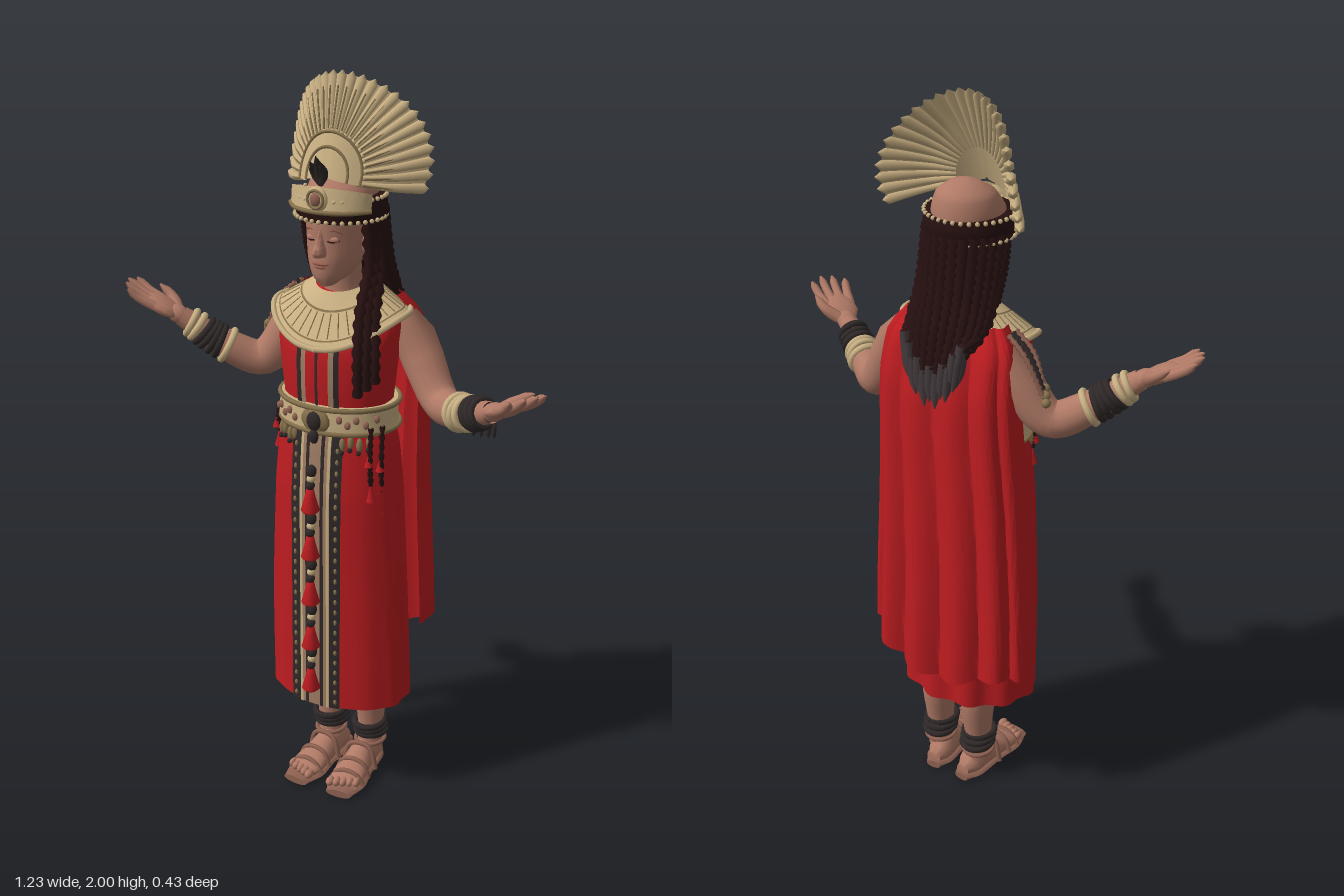
import * as THREE from 'three';
import { mergeGeometries, toCreasedNormals } from 'three/addons/utils/BufferGeometryUtils.js';

const V = (x, y, z) => new THREE.Vector3(x, y, z);
const { sin, cos, PI, abs, max, min, sqrt, floor } = Math;
const mat = (name, color) => new THREE.MeshStandardMaterial({ name, color, side: THREE.DoubleSide });

// Surface from a rule: u runs around or across, v runs upward
function grid(fn, nu, nv, closed = false) {
  const pos = [], idx = [], w = closed ? nu : nu + 1;
  for (let i = 0; i <= nv; i++) for (let j = 0; j < w; j++) pos.push(...fn(j / nu, i / nv, i));
  for (let i = 0; i < nv; i++) for (let j = 0; j < nu; j++) {
    const a = i * w + j, b = i * w + (j + 1) % w, c = a + w, d = b + w;
    idx.push(a, b, d, a, d, c);
  }
  const g = new THREE.BufferGeometry();
  g.setAttribute('position', new THREE.Float32BufferAttribute(pos, 3));
  g.setIndex(idx);
  return toCreasedNormals(g, 0.9);
}

// Section rows are [y, centreX, centreZ, halfWidth, frontDepth, backDepth]
const spline = (a, b, c, d, t) => b + 0.5 * t * (c - a + t * (2 * a - 5 * b + 4 * c - d + t * (3 * (b - c) + d - a)));
function sectionAt(rows, y) {
  let k = 0;
  while (k < rows.length - 2 && y > rows[k + 1][0]) k++;
  const t = (y - rows[k][0]) / (rows[k + 1][0] - rows[k][0]);
  const p = rows[max(k - 1, 0)], q = rows[min(k + 2, rows.length - 1)];
  return rows[k].map((b, n) => n ? spline(p[n], b, rows[k + 1][n], q[n], t) : y);
}
function loft(rows, nu = 24, nv = 20, ripple = () => 1) {
  const y0 = rows[0][0], y1 = rows[rows.length - 1][0];
  return grid((u, _, i) => {
    const t = min(max((i - 1) / nv, 0), 1), a = u * 2 * PI;
    const [y, cx, cz, rx, rf, rb] = sectionAt(rows, y0 + (y1 - y0) * t);
    const k = i === 0 || i === nv + 2 ? 0 : ripple(a, t);
    return [cx + rx * k * sin(a), y, cz + (cos(a) > 0 ? rf : rb) * k * cos(a)];
  }, nu, nv + 2, true);
}

// Tube of changing radius along a smooth path
function limb(points, radius, n = 20, sides = 10) {
  const path = new THREE.CatmullRomCurve3(points.map(p => V(...p)));
  const g = new THREE.TubeGeometry(path, n, 1, sides), pos = g.attributes.position, v = V(0, 0, 0);
  for (let i = 0; i <= n; i++) {
    const t = i / n, c = path.getPointAt(t);
    let r = typeof radius === 'function' ? radius(t) : radius;
    if (Array.isArray(radius)) {
      const f = t * (radius.length - 1), k = min(floor(f), radius.length - 2);
      r = radius[k] + (radius[k + 1] - radius[k]) * (f - k);
    }
    for (let j = 0; j <= sides; j++) {
      const m = i * (sides + 1) + j;
      v.fromBufferAttribute(pos, m).sub(c).multiplyScalar(r).add(c);
      pos.setXYZ(m, v.x, v.y, v.z);
    }
  }
  return g;
}
const ball = (x, y, z, rx, ry = rx, rz = rx) => new THREE.SphereGeometry(1, 10, 7).scale(rx, ry, rz).translate(x, y, z);
const ring = (y, z, rx, rz, r) => new THREE.TorusGeometry(1, r / rx, 6, 40).rotateX(PI / 2).scale(rx, rx, rz).translate(0, y, z);

export function createModel() {
  const skin = mat('skin', 0xb07a66), red = mat('red cloth', 0xbc1c20), hair = mat('dark hair', 0x271010);
  const gold = mat('gold', 0xc9b083), shade = mat('dark gold', 0x86714c), bead = mat('dark beads', 0x2f2828);
  const tan = mat('tan trim', 0xa07d63), leather = mat('leather', 0x8f6252), lip = mat('lips', 0x95594c), tip = mat('grey hair tips', 0x433a3c);
  const root = new THREE.Group(), figure = new THREE.Group();
  root.name = 'robedFigure'; figure.name = 'body'; figure.position.x = -0.013;
  root.add(figure);
  const add = (name, geo, material, parent = figure) => {
    const m = new THREE.Mesh(Array.isArray(geo) ? mergeGeometries(geo) : geo, material);
    m.name = name; parent.add(m); return m;
  };

  // Legs and sandals
  for (const s of [-1, 1]) {
    add('leg', loft([[0.05, 0, -0.07, 0.036, 0.04, 0.04], [0.13, 0, -0.072, 0.036, 0.038, 0.042], [0.26, 0, -0.075, 0.047, 0.057, 0.058], [0.45, 0, -0.06, 0.06, 0.06, 0.06]], 16, 12), skin).position.x = s * 0.065;
    const foot = new THREE.Group();
    foot.name = 'foot'; foot.position.x = s * 0.06; foot.rotation.y = s * 0.08; figure.add(foot);
    const along = rows => loft(rows, 20, 18).rotateX(PI / 2);
    add('footTop', along([[-0.13, 0, -0.03, 0.018, 0.015, 0.02], [-0.1, 0, -0.03, 0.035, 0.02, 0.05], [-0.05, 0, -0.03, 0.037, 0.02, 0.065], [0, 0, -0.03, 0.042, 0.02, 0.047], [0.06, 0, -0.028, 0.048, 0.018, 0.026], [0.1, 0, -0.025, 0.043, 0.015, 0.014]]), skin, foot);
    add('toes', [0, 1, 2, 3, 4].map(i => ball(s * (-0.034 + i * 0.018), 0.032, 0.11 - i * 0.006, 0.012 - i * 0.0008, 0.012, 0.018)), skin, foot);
    add('sole', along([[-0.14, 0, -0.011, 0.022, 0.011, 0.011], [-0.1, 0, -0.011, 0.042, 0.011, 0.011], [0, 0, -0.011, 0.046, 0.011, 0.011], [0.07, 0, -0.011, 0.055, 0.011, 0.011], [0.132, 0, -0.011, 0.038, 0.011, 0.011]]), leather, foot);
    add('straps', [[0.07, 0.046], [0.03, 0.062], [-0.02, 0.085]].map(([z, h]) => limb([[-0.05, 0.015, z], [-0.032, h - 0.006, z], [0, h + 0.005, z], [0.032, h - 0.006, z], [0.05, 0.015, z]], 0.007, 16, 6)), leather, foot);
    add('ankleStrap', ring(0.085, -0.072, 0.041, 0.045, 0.006), leather).position.x = s * 0.065;
    add('anklets', [0.115, 0.13, 0.144].map((y, i) => ring(y, -0.072, 0.042, 0.046, 0.009).rotateX((i - 1) * 0.04)), bead).position.x = s * 0.065;
  }

  // Dress with folds toward the sides and back
  const dressRows = [[0.29, 0.005, 0, 0.2, 0.13, 0.165], [0.6, 0, 0, 0.194, 0.128, 0.16], [0.92, 0, 0, 0.18, 0.125, 0.15], [1.05, 0, 0, 0.167, 0.115, 0.14], [1.13, 0, 0, 0.148, 0.105, 0.13], [1.24, 0, 0, 0.157, 0.11, 0.135], [1.33, 0, 0, 0.166, 0.102, 0.14], [1.4, 0, 0, 0.16, 0.055, 0.135], [1.45, 0, -0.03, 0.08, 0.05, 0.08]];
  add('dress', loft(dressRows, 96, 50, (a, t) => 1 + 0.025 * (1 - t) * (1 - cos(a)) * sin(a * 11)), red);
  const frontZ = (x, y) => {
    const r = sectionAt(dressRows, y);
    return r[2] + r[4] * sqrt(max(0, 1 - (x / r[3]) ** 2));
  };
  const strip = (x0, x1, y0, y1, off) => grid((u, v) => {
    const x = x0 + (x1 - x0) * u, y = y0 + (y1 - y0) * v;
    return [x, y, frontZ(x, y) + off];
  }, 4, 40);

  // Decorated front panel with patterned borders
  add('panelEdges', [-1, 1].flatMap(s => [strip(s * 0.059 - 0.015, s * 0.059 + 0.015, 0.29, 1.1, 0.007), strip(s * 0.054 - 0.007, s * 0.054 + 0.007, 1.16, 1.35, 0.007)]), bead);
  add('panelCentre', [strip(-0.044, 0.044, 0.29, 1.1, 0.006), ...[-1, 1].map(s => strip(s * 0.04 - 0.007, s * 0.04 + 0.007, 1.16, 1.35, 0.007))], tan);
  add('panelLines', [-0.04, 0.04].map(x => strip(x - 0.004, x + 0.004, 0.29, 1.1, 0.009)), gold);
  add('panelDarkLines', [-0.022, 0.022].map(x => strip(x - 0.005, x + 0.005, 0.29, 1.1, 0.008)), bead);
  add('bodiceSeam', strip(-0.004, 0.004, 1.16, 1.35, 0.007), bead);
  add('panelStuds', Array.from({ length: 50 }, (_, i) => {
    const x = i % 2 ? 0.061 : -0.061, y = 0.31 + floor(i / 2) * 0.031;
    return ball(x, y, frontZ(x, y) + 0.007, 0.005, 0.008, 0.004);
  }), shade);

  // Tassels down the panel
  for (const y of [0.92, 0.785, 0.65, 0.515, 0.385]) {
    const z = frontZ(0, y) + 0.026;
    add('tassel', new THREE.LatheGeometry([[0, -0.035], [0.018, -0.037], [0.025, -0.03], [0.014, 0.01], [0.01, 0.03], [0, 0.035]].map(p => new THREE.Vector2(...p)), 12).translate(0, y, z), red);
    add('tasselKnot', [ball(0, y + 0.04, z, 0.013), ball(0, y + 0.077, z - 0.008, 0.014, 0.018, 0.014)], bead);
    add('tasselBead', ball(0, y + 0.057, z - 0.005, 0.012), gold);
  }

  // Belt, buckle and hanging cords
  add('belt', loft([[1.095, 0, 0, 0.167, 0.122, 0.142], [1.13, 0, 0, 0.163, 0.122, 0.14], [1.17, 0, 0, 0.162, 0.12, 0.14]], 48, 4), gold);
  add('beltBorders', [1.1, 1.165].map(y => ring(y, -0.01, 0.165, 0.133, 0.007)), shade);
  const beltZ = x => 0.122 * sqrt(1 - (x / 0.164) ** 2);
  add('beltStuds', [-0.145, -0.125, -0.105, -0.085, -0.065, 0.065, 0.085, 0.105, 0.125, 0.145].map((x, i) => ball(x, 1.126 + (i % 2) * 0.014, beltZ(x), 0.009, 0.011, 0.007)), leather);
  add('buckleFrame', ball(0, 1.132, 0.12, 0.042, 0.036, 0.012), shade);
  add('buckle', [ball(0, 1.132, 0.128, 0.022, 0.026, 0.012), ball(0, 1.09, 0.13, 0.014, 0.02, 0.01)], bead);
  const fringe = [-0.15, -0.13, -0.11, -0.09, -0.07, 0.07, 0.09, 0.11, 0.13];
  add('beltFringe', fringe.map((x, i) => ball(x, 1.078 - (i % 2) * 0.008, frontZ(x, 1.08) + 0.005, 0.009, 0.02, 0.008)), shade);
  add('fringeTips', fringe.map((x, i) => ball(x, 1.058 - (i % 2) * 0.008, frontZ(x, 1.06) + 0.006, 0.007)), bead);
  for (const [x, len] of [[0.138, 0.11], [0.155, 0.15], [-0.155, 0.02]]) {
    const z = frontZ(x, 1.08) + 0.02;
    add('cord', limb([[x, 1.12, z], [x + 0.003, 1.09 - len / 2, z + 0.01], [x, 1.07 - len, z]], t => 0.007 + 0.002 * sin(t * 50), 30, 6), hair);
    add('cordTassel', [new THREE.ConeGeometry(0.014, 0.05, 8).translate(x, 1.05 - len, z), new THREE.ConeGeometry(0.012, 0.035, 8).translate(x, 1.09 - len * 0.5, z + 0.012)], red);
  }

  // Pleated cape hanging from the shoulders
  const capeRows = [[0, -0.015, -0.1, 0.235, 0, 0.118], [0.5, -0.012, -0.1, 0.212, 0, 0.108], [0.82, 0, -0.1, 0.195, 0, 0.095], [0.95, 0, -0.09, 0.178, 0, 0.07], [1, 0, -0.07, 0.14, 0, 0.05]];
  add('cape', grid((u, v) => {
    const a = (u - 0.5) * PI * 1.04, [, cx, cz, rx, , rb] = sectionAt(capeRows, v);
    const wave = abs(sin(a * 5.5 + 0.15 * sin(v * 6))) - 0.6;
    const hem = 0.43 + (u > 0.8 ? 0.07 : u < 0.12 ? 0.02 : 0.025 * sin(u * 9));
    const c = cos(a), f = Math.sign(c) * sqrt(abs(c));
    return [cx + rx * sin(a) * (1 + wave * 0.06), hem + (1.44 - hem) * v, cz - rb * f - wave * f * (0.034 - 0.02 * v)];
  }, 150, 30), red);

  // Broad collar in bands with fine radial ribs
  const collar = (a, v) => {
    const c = cos(a), lerp = (p, q) => p + (q - p) * v;
    return [lerp(0.187, 0.07) * sin(a), lerp(1.405 - 0.08 * max(0, c) ** 2, 1.475 - 0.02 * c), -0.03 + lerp(c > 0 ? 0.15 : 0.12, 0.065) * c + 0.006];
  };
  const bands = [[0, 0.13, gold], [0.13, 0.16, shade], [0.16, 0.64, gold], [0.64, 0.68, shade], [0.68, 1, gold]];
  for (const [v0, v1, m] of bands) add('collarBand', grid((u, v) => collar(u * 2 * PI, v0 + (v1 - v0) * v), 60, 3, true), m);
  add('collarRim', limb(Array.from({ length: 25 }, (_, i) => collar(i / 12 * PI, 0)), 0.008, 60, 6), gold);
  add('collarRibs', Array.from({ length: 36 }, (_, i) => limb([collar(i / 18 * PI, 0.18), collar(i / 18 * PI, 0.62)], 0.0016, 2, 4)), shade);

  // Neck, head and face
  add('neck', loft([[1.38, 0, -0.035, 0.07, 0.06, 0.06], [1.46, 0, -0.03, 0.05, 0.05, 0.05], [1.56, 0, -0.02, 0.05, 0.05, 0.05]], 20, 8), skin);
  add('head', loft([[1.478, 0, 0.05, 0.018, 0.03, 0.03], [1.5, 0, 0.03, 0.047, 0.06, 0.06], [1.54, 0, 0, 0.068, 0.094, 0.08], [1.59, 0, -0.01, 0.077, 0.1, 0.09], [1.65, 0, -0.02, 0.083, 0.11, 0.1], [1.7, 0, -0.025, 0.09, 0.1, 0.1], [1.75, 0, -0.035, 0.073, 0.07, 0.08], [1.775, 0, -0.04, 0.04, 0.035, 0.045], [1.785, 0, -0.04, 0.005, 0.005, 0.005]], 28, 36), skin);
  add('nose', loft([[1.558, 0, 0.085, 0.017, 0.028, 0.01], [1.57, 0, 0.085, 0.018, 0.035, 0.01], [1.595, 0, 0.085, 0.01, 0.022, 0.01], [1.622, 0, 0.08, 0.006, 0.013, 0.01]], 12, 10), skin);
  add('lips', [ball(0, 1.538, 0.089, 0.024, 0.005, 0.009), ball(0, 1.529, 0.086, 0.02, 0.006, 0.009)], lip);
  for (const s of [-1, 1]) {
    add('eyelid', ball(s * 0.031, 1.6, 0.077, 0.015, 0.009, 0.008), skin);
    add('eyeLine', limb([[s * 0.016, 1.597, 0.086], [s * 0.031, 1.595, 0.086], [s * 0.046, 1.598, 0.073]], 0.0018, 8, 4), hair);
    add('eyebrow', limb([[s * 0.012, 1.617, 0.086], [s * 0.033, 1.624, 0.081], [s * 0.052, 1.616, 0.067]], 0.0022, 8, 4), lip);
    add('ear', ball(s * 0.079, 1.58, -0.005, 0.01, 0.028, 0.018), skin);
    add('earring', ball(s * 0.082, 1.54, 0, 0.006, 0.012, 0.006), gold);
  }

  // Braided hair, longest at the middle of the back
  add('hairMass', loft([[1.3, 0, -0.175, 0.05, 0.015, 0.025], [1.4, 0, -0.14, 0.09, 0.03, 0.045], [1.52, 0, -0.08, 0.093, 0.04, 0.075], [1.66, 0, -0.02, 0.105, 0.03, 0.11]], 24, 16), hair);
  const plait = (pts, r = 0.017) => limb(pts, t => r * (1 + 0.22 * sin(t * 85)) * (1 - 0.3 * t), 64, 6);
  const braids = [], tips = [];
  for (let i = 0; i < 15; i++) {
    const a = (i / 14 - 0.5) * PI * 1.02, s = sin(a), c = cos(a), y = 1.315 + 0.07 * s * s + 0.02 * (i % 2);
    const end = [0.085 * s, y, -0.183 - 0.018 * c];
    braids.push(plait([[0.102 * s, 1.66, -0.02 - 0.105 * c], [0.104 * s, 1.52, -0.065 - 0.085 * c], [0.105 * s, 1.43, -0.12 - 0.06 * c], end]));
    tips.push(limb([[end[0], y + 0.015, end[2]], [end[0] * 0.9, y - 0.05, end[2] - 0.004], [end[0] * 0.8, y - 0.085, end[2] - 0.004]], [0.012, 0.014, 0.012, 0.002], 8, 6));
  }
  for (const d of [0, 0.016, 0.032]) {
    braids.push(plait([[0.09, 1.66, 0.01 - d], [0.096 + d * 0.4, 1.53, 0.01 - d], [0.105 + d * 0.8, 1.42, 0.075 - d], [0.122 + d, 1.32, 0.12 - d], [0.128 + d, 1.22 + d, 0.13 - d]]));
    braids.push(plait([[-0.09, 1.66, 0.01 - d], [-0.094, 1.56, -0.01 - d], [-0.09, 1.475, -0.035 - d]], 0.014));
  }
  add('braids', braids, hair);
  add('braidTips', tips, tip);

  // Headband and tiara
  add('headband', loft([[1.64, 0, -0.015, 0.112, 0.106, 0.112], [1.67, 0, -0.015, 0.119, 0.11, 0.118], [1.7, 0, -0.015, 0.114, 0.108, 0.115]], 32, 6), hair);
  add('headbandBeads', Array.from({ length: 72 }, (_, i) => {
    const a = (i % 36) / 18 * PI;
    return ball(0.116 * sin(a), i < 36 ? 1.645 : 1.698, -0.015 + 0.113 * cos(a), 0.006);
  }), gold);
  add('tiara', grid((u, v) => {
    const a = (u - 0.5) * 2.3;
    return [0.125 * sin(a), 1.672 + v * (0.03 + 0.03 * cos(a)), -0.012 + (0.118 - 0.012 * v) * cos(a)];
  }, 30, 4), gold);
  add('tiaraRim', limb([-1.15, -0.6, 0, 0.6, 1.15].map(a => [0.126 * sin(a), 1.672, -0.01 + 0.118 * cos(a)]), 0.006, 30, 6), shade);
  add('jewelSetting', ball(0, 1.705, 0.104, 0.03, 0.032, 0.012), gold);
  add('jewelRing', new THREE.TorusGeometry(0.022, 0.004, 6, 20).translate(0, 1.705, 0.114), shade);
  add('jewel', ball(0, 1.705, 0.114, 0.015, 0.017, 0.008), leather);
  add('plume', [-1, 0, 1].map(i => limb([[0, 1.735, 0.085], [i * 0.01, 1.765, 0.092], [i * 0.016, 1.81 - abs(i) * 0.015, 0.11]], [0.006, 0.013, 0.012, 0.001], 10, 6)), bead);

  // Feathered fan crown, curving back at both ends
  const fan = (a, r, off = 0) => {
    const x = 0.82 * r * sin(a), y = 1.752 + r * cos(a);
    return [x, y, 0.068 - 0.34 * (y - 1.72) - 4.7 * x * x + off];
  };
  add('fanBacking', grid((u, v) => fan((u - 0.5) * 3.55, 0.005 + 0.23 * v), 60, 10), gold);
  const spread = n => Array.from({ length: n }, (_, i) => (i / (n - 1) - 0.5) * 3.5);
  add('fanFeathers', spread(27).map(a => limb([fan(a, 0.09), fan(a, 0.17), fan(a, 0.244)], t => t > 0.99 ? 0.001 : 0.006 + 0.0085 * t, 12, 6)), gold);
  add('fanFeatherQuills', spread(27).map(a => limb([fan(a, 0.11, 0.007), fan(a, 0.16, 0.0095), fan(a, 0.21, 0.012)], 0.0025, 6, 4)), shade);
  add('fanDisc', grid((u, v) => fan((u - 0.5) * 3.5, 0.005 + 0.1 * v, 0.013), 40, 5), gold);
  add('fanRings', [0.07, 0.105].map(r => limb(Array.from({ length: 15 }, (_, i) => fan((i / 14 - 0.5) * 3.5, r, 0.014)), 0.004, 40, 6)), shade);

  // Arms, bracelets and open hands
  const arms = [
    { name: 'rightArm', s: 1, pts: [[-0.15, 1.39, -0.08], [-0.2, 1.3, -0.075], [-0.275, 1.208, -0.05], [-0.36, 1.245, 0], [-0.465, 1.325, 0.055]], dir: [-0.165, 0.085, 0.045], cuffs: [[0.69, 1], [0.74, 0], [0.775, 0], [0.81, 0], [0.845, 0], [0.89, 1], [0.93, 1]] },
    { name: 'leftArm', s: -1, pts: [[0.14, 1.39, -0.08], [0.193, 1.28, -0.075], [0.265, 1.178, -0.045], [0.36, 1.19, 0.025], [0.465, 1.235, 0.095]], dir: [0.14, 0.075, 0.08], cuffs: [[0.7, 1], [0.74, 1], [0.78, 1], [0.84, 0], [0.88, 0], [0.92, 0]] },
  ];
  for (const { name, s, pts, dir, cuffs } of arms) {
    const arm = new THREE.Group(); arm.name = name; root.add(arm);
    add('armSkin', limb(pts, [0.03, 0.056, 0.056, 0.052, 0.049, 0.046, 0.04, 0.033, 0.027], 32, 14), skin, arm);
    const path = new THREE.CatmullRomCurve3(pts.map(p => V(...p)));
    cuffs.forEach(([t, isGold], i) => {
      const b = add('bracelet', new THREE.TorusGeometry(0.035 + (0.9 - t) * 0.04, 0.0095, 8, 24), isGold ? gold : bead, arm);
      b.position.copy(path.getPointAt(t));
      b.lookAt(b.position.clone().add(path.getTangentAt(t)).add(V(0, 0.15 * sin(i * 5), 0)));
    });
    if (s < 0) add('braceletDrops', [0.4, 0.425, 0.45, 0.47].map((x, i) => ball(x, 1.165 + i * 0.007, 0.05 + i * 0.012, 0.006, 0.02, 0.006)), bead, arm);
    const hand = new THREE.Group(), ax = V(...dir).normalize(), az = ax.clone().cross(V(0, 1, 0)).normalize();
    hand.name = 'hand';
    hand.quaternion.setFromRotationMatrix(new THREE.Matrix4().makeBasis(ax, az.clone().cross(ax), az));
    hand.position.set(...pts[4]); arm.add(hand);
    add('palm', [ball(0.055, 0, 0, 0.058, 0.02, 0.047), ball(0.01, 0, 0, 0.035, 0.024, 0.03)], skin, hand);
    add('fingers', [0, 1, 2, 3].map(i => {
      const z = s * (0.033 - i * 0.022), l = [0.072, 0.086, 0.08, 0.062][i];
      return limb([[0.07, 0, z], [0.085 + l * 0.5, 0.002, z * 1.25], [0.09 + l, 0.012, z * 1.45]], [0.014, 0.014, 0.013, 0.012, 0.012, 0.011, 0.003], 18, 8);
    }), skin, hand);
    add('thumb', limb([[0.02, 0.003, s * 0.02], [0.055, 0.014, s * 0.05], [0.1, 0.022, s * 0.062]], [0.016, 0.017, 0.014, 0.012, 0.003], 12, 8), skin, hand);
  }

  // Beaded strands over the right shoulder
  const strand = (i, r) => limb([[-0.175, 1.43, -0.06 - i * 0.018], [-0.225, 1.385, -0.06 - i * 0.02], [-0.262 - i * 0.006, 1.31 - i * 0.01, -0.07 - i * 0.012]], t => r + 0.002 * sin(t * 60), 30, 6);
  add('shoulderStrands', [strand(0, 0.006), strand(2, 0.006)], leather, root);
  add('shoulderCord', strand(1, 0.007), bead, root);
  add('shoulderBeads', [0, 1, 2].map(i => ball(-0.268 - i * 0.01, 1.3 - i * 0.012, -0.07 - i * 0.015, 0.012)), shade, root);
  return root;
}
